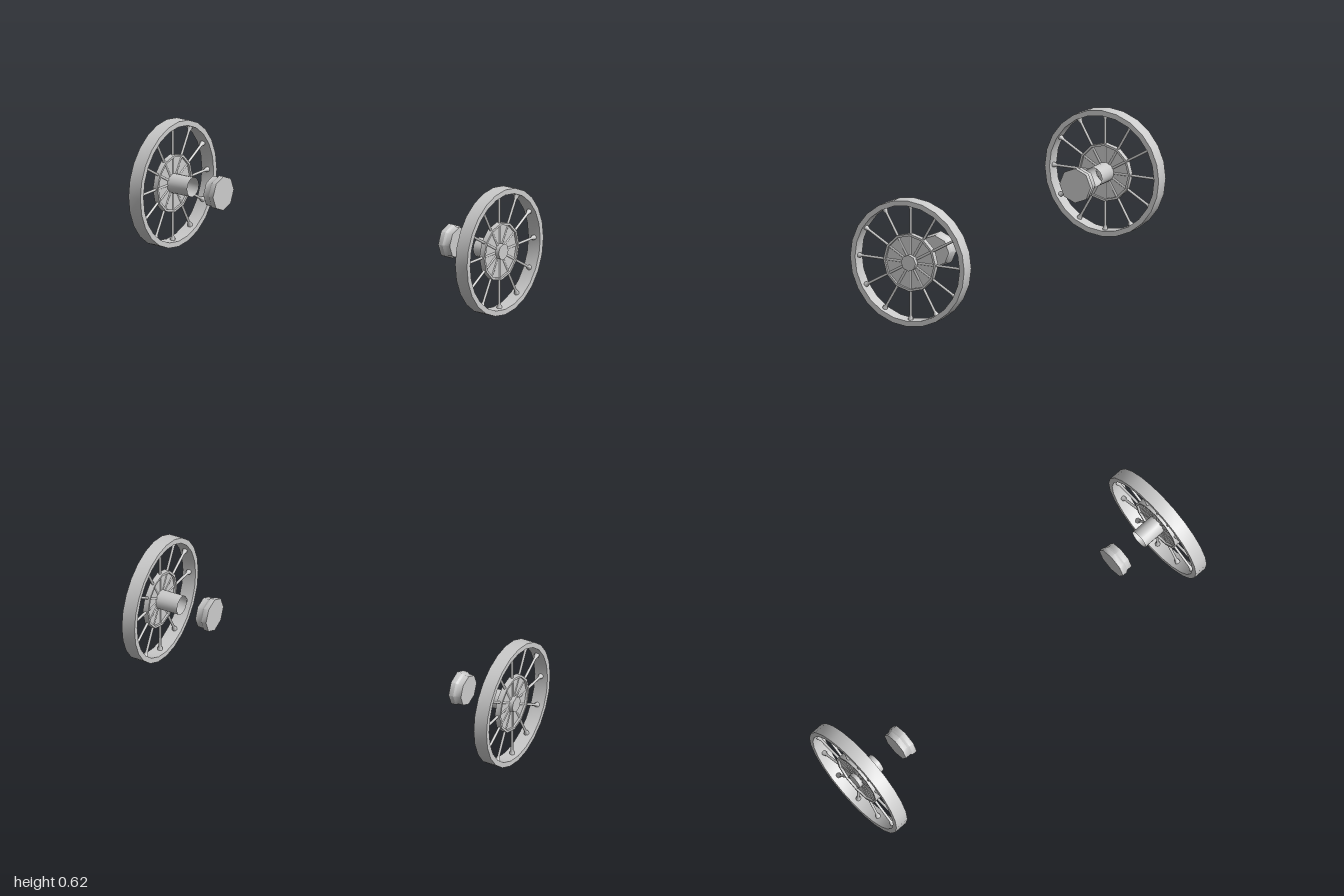
import * as THREE from 'three';
import { toCreasedNormals } from 'three/addons/utils/BufferGeometryUtils.js';

const AXLE_Y = 0.311;  // axle height = wheel radius
const WHEEL_X = 0.965; // middle plane of a wheel
const material = new THREE.MeshStandardMaterial({ color: 0xcccccc });
const openMaterial = new THREE.MeshStandardMaterial({ color: 0xcccccc, side: THREE.DoubleSide });

// Turned part around the x axis; profile points are [radius, x]
function turned(name, profile, sides, mat = material) {
  const points = profile.map(([r, x]) => new THREE.Vector2(r, x));
  const geometry = toCreasedNormals(new THREE.LatheGeometry(points, sides), THREE.MathUtils.degToRad(50));
  geometry.rotateZ(-Math.PI / 2);
  const mesh = new THREE.Mesh(geometry, mat);
  mesh.name = name;
  return mesh;
}

// Closed ring with a rectangular section
function ring(name, inner, outer, x0, x1, sides) {
  return turned(name, [[inner, x1], [inner, x0], [outer, x0], [outer, x1], [inner, x1]], sides);
}

// Solid disc
function disc(name, radius, x0, x1, sides) {
  return turned(name, [[0, x0], [radius, x0], [radius, x1], [0, x1]], sides);
}

// Thin round spokes that flare where they meet the rim
function makeSpokes() {
  const spokes = new THREE.Group();
  spokes.name = 'spokes';
  const profile = [[0.0065, 0.02], [0.0065, 0.262], [0.0125, 0.276], [0.0125, 0.29]]
    .map(([r, y]) => new THREE.Vector2(r, y));
  const geometry = new THREE.LatheGeometry(profile, 8);
  for (let i = 0; i < 12; i++) {
    const spoke = new THREE.Mesh(geometry, material);
    spoke.name = 'spoke';
    spoke.rotation.x = (i * Math.PI) / 6;
    spoke.position.x = WHEEL_X;
    spokes.add(spoke);
  }
  return spokes;
}

// One wheel with its axle stub and the separate axle end nut
function makeSide(name) {
  const side = new THREE.Group();
  side.name = name;
  side.add(
    ring('rim', 0.285, 0.311, 0.93, 1.0, 24),
    ring('hubRing', 0.132, 0.143, 0.951, 0.979, 12),
    disc('hubPlate', 0.135, 0.962, 0.968, 12),
    disc('hubCap', 0.04, 0.96, 0.99, 8),
    turned('axleTube', [[0.048, 0.845], [0.048, 0.963]], 16, openMaterial),
    turned('axleNut', [[0, 0.665], [0.085, 0.665], [0.085, 0.69], [0.077, 0.7], [0.077, 0.728], [0, 0.728]], 8),
    makeSpokes()
  );
  side.position.y = AXLE_Y;
  return side;
}

export function createModel() {
  const model = new THREE.Group();
  model.name = 'wheelPair';
  const left = makeSide('leftWheel');
  const right = makeSide('rightWheel');
  right.rotation.y = Math.PI;
  model.add(left, right);
  return model;
}
